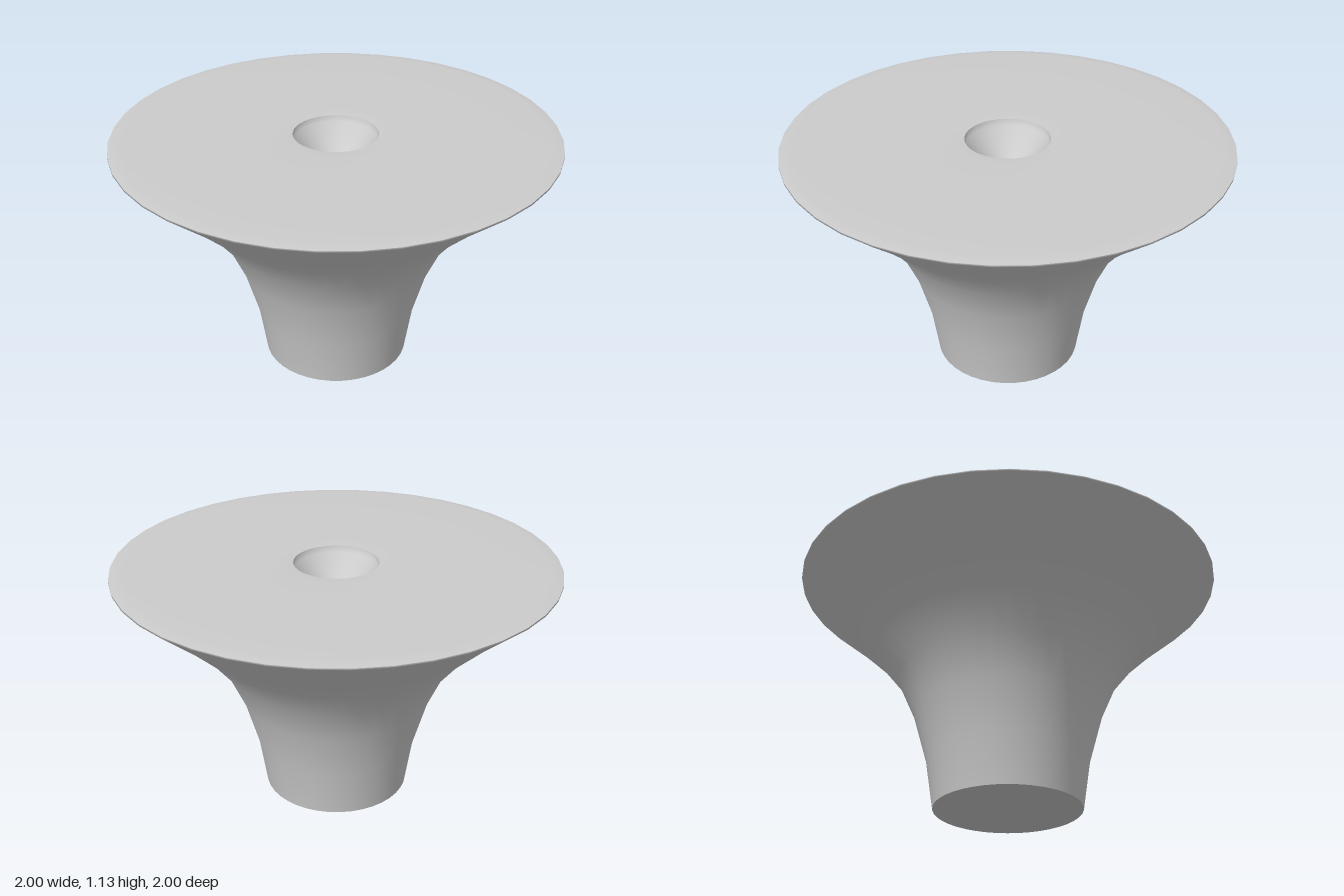
import * as THREE from 'three';

const SEGMENTS = 40;

// Each profile lists [radius, height]; separate lathes keep the edges between them sharp.
const PROFILES = {
  base: [[0, 0], [0.34, 0]],
  flaredBody: [[0.34, 0], [0.375, 0.23], [0.44, 0.46], [0.52, 0.64], [0.64, 0.79], [0.81, 0.95], [1, 1.11], [1, 1.118]],
  topFace: [[1, 1.118], [0.94, 1.127], [0.6, 1.127], [0.26, 1.127], [0.192, 1.122]],
  centreRecess: [[0.192, 1.122], [0.185, 1.095], [0.1, 1.0], [0, 0.91]],
};

export function createModel() {
  const group = new THREE.Group();
  group.name = 'flaredPedestal';
  const material = new THREE.MeshStandardMaterial({ color: 0xcccccc });

  for (const [name, profile] of Object.entries(PROFILES)) {
    const points = profile.map(([r, y]) => new THREE.Vector2(r, y));
    // A quarter turn offset puts a vertex on every axis
    const mesh = new THREE.Mesh(new THREE.LatheGeometry(points, SEGMENTS), material);
    mesh.name = name;
    group.add(mesh);
  }
  return group;
}
